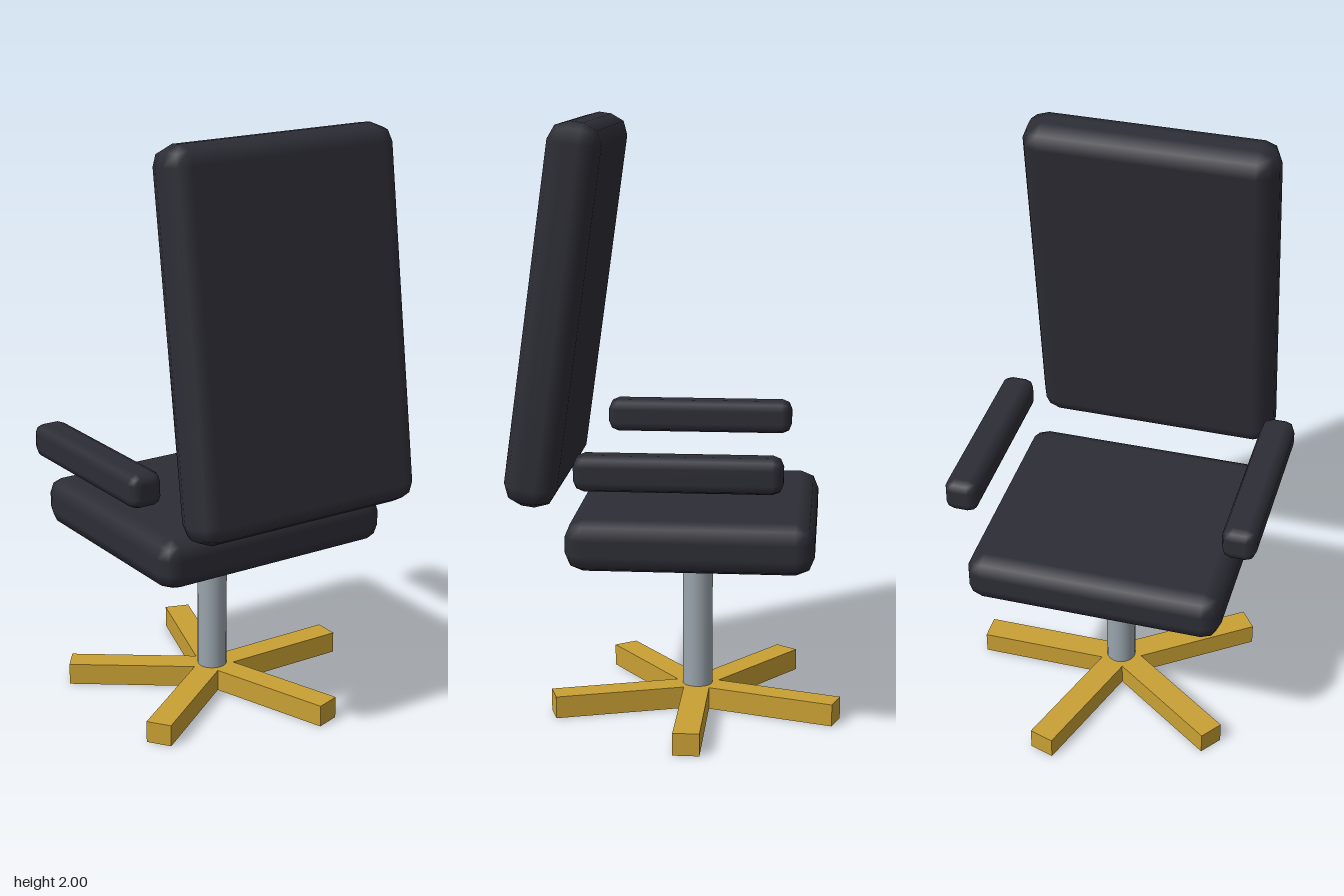
import * as THREE from 'three';
import { RoundedBoxGeometry } from 'three/addons/geometries/RoundedBoxGeometry.js';

const AXIS_Z = -0.055; // the column, base and seat share this centre line

function material(name, color) {
  const m = new THREE.MeshStandardMaterial({ color });
  m.name = name;
  return m;
}

export function createModel() {
  const upholstery = material('dark upholstery', 0x2d2d36);
  const steel = material('grey steel', 0x9aa5ad);
  const gold = material('gold base', 0xc9a034);

  const chair = new THREE.Group();
  chair.name = 'swivelChair';

  function add(parent, name, geometry, mat, x, y, z) {
    const mesh = new THREE.Mesh(geometry, mat);
    mesh.name = name;
    mesh.position.set(x, y, z);
    parent.add(mesh);
    return mesh;
  }

  // Padded block with softly bevelled edges
  const cushion = (w, h, d, r) => new RoundedBoxGeometry(w, h, d, 1, r);

  // Seat
  add(chair, 'seat', cushion(0.87, 0.17, 0.802, 0.06), upholstery, 0, 0.655, AXIS_Z);

  // Backrest, leaning towards the seat at the top
  const back = add(chair, 'backrest', cushion(0.844, 1.234, 0.172, 0.065), upholstery, 0, 1.385, 0.38);
  back.rotation.x = -0.139;

  // Armrests
  for (const [name, side] of [['leftArmrest', 1], ['rightArmrest', -1]]) {
    add(chair, name, cushion(0.115, 0.115, 0.657, 0.034), upholstery, side * 0.468, 0.918, -0.029);
  }

  // Column
  add(chair, 'column', new THREE.CylinderGeometry(0.051, 0.051, 0.54, 20), steel, 0, 0.31, AXIS_Z);

  // Five-pointed base: bars running outwards from the centre
  const base = new THREE.Group();
  base.name = 'starBase';
  base.position.z = AXIS_Z;
  chair.add(base);
  const legGeometry = new THREE.BoxGeometry(0.5, 0.075, 0.087).translate(0.25, 0.0375, 0);
  for (let i = 0; i < 5; i++) {
    add(base, 'baseLeg', legGeometry, gold, 0, 0, 0).rotation.y = (i * Math.PI * 2) / 5;
  }

  return chair;
}
